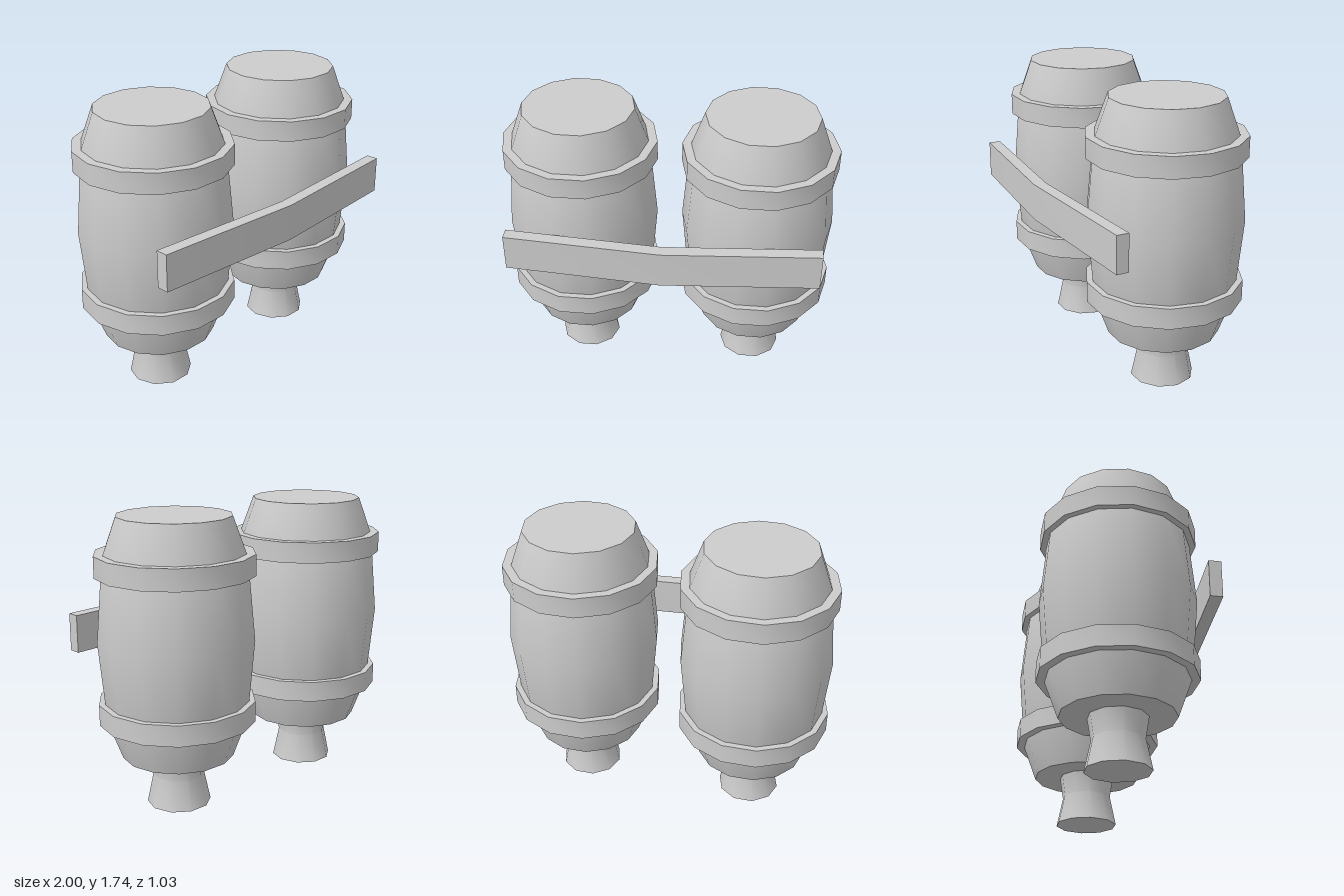
import * as THREE from 'three';
import { toCreasedNormals } from 'three/addons/utils/BufferGeometryUtils.js';

const CREASE = 0.7;

export function createModel() {
  const model = new THREE.Group();
  model.name = 'twinBarrelPack';
  const grey = new THREE.MeshStandardMaterial({ color: 0xcccccc });
  grey.name = 'light grey';

  const addMesh = (parent, name, geometry) => {
    const mesh = new THREE.Mesh(toCreasedNormals(geometry, CREASE), grey);
    mesh.name = name;
    parent.add(mesh);
  };

  // Turned part from [radius, height] points, with a corner on the x axis
  const turned = (points, sides) => new THREE.LatheGeometry(
    points.map(([r, y]) => new THREE.Vector2(r, y)), sides, Math.PI / 2);

  for (const [side, x] of [['left', 0.5365], ['right', -0.5365]]) {
    const tank = new THREE.Group();
    tank.name = side + 'Tank';
    tank.position.set(x, 0, -0.067);
    model.add(tank);

    // Bulging barrel with flat ends
    addMesh(tank, side + 'Barrel', turned([
      [0, 0.31], [0.333, 0.31], [0.417, 0.54], [0.46, 1.022],
      [0.417, 1.505], [0.333, 1.735], [0, 1.735]], 14));

    // Hoops around the barrel
    for (const [place, y] of [['Lower', 0.528], ['Upper', 1.398]]) {
      addMesh(tank, side + place + 'Hoop', turned([
        [0.39, y], [0.4635, y], [0.4635, y + 0.125], [0.39, y + 0.125]], 14));
    }

    // Waisted nozzle underneath
    addMesh(tank, side + 'Nozzle', turned([
      [0, 0], [0.19, 0], [0.152, 0.18], [0.173, 0.31], [0, 0.31]], 10));
  }

  // Bent strap across the front, drawn in plan and raised to its height
  const plan = new THREE.Shape([
    [-0.922, -0.447], [0, -0.515], [0.922, -0.447],
    [0.922, -0.373], [0, -0.44], [-0.922, -0.373],
  ].map(([x, y]) => new THREE.Vector2(x, y)));
  const strap = new THREE.ExtrudeGeometry(plan, { depth: 0.225, bevelEnabled: false });
  strap.rotateX(-Math.PI / 2);
  strap.translate(0, 0.91, 0);
  addMesh(model, 'frontStrap', strap);

  return model;
}
